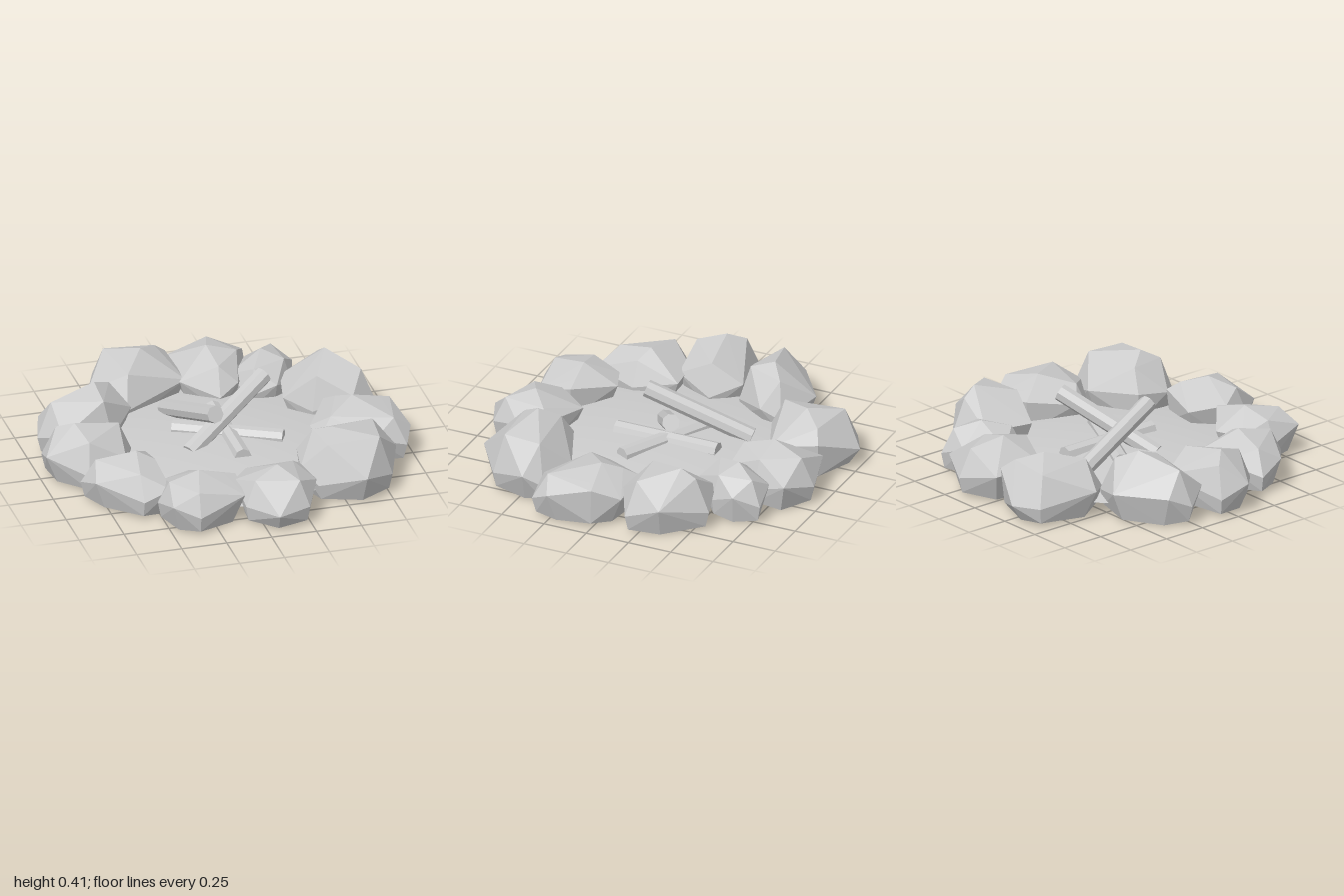
import * as THREE from 'three';
import { ConvexGeometry } from 'three/addons/geometries/ConvexGeometry.js';

const material = new THREE.MeshStandardMaterial({ color: 0xcccccc, flatShading: true });
const groundMaterial = new THREE.MeshStandardMaterial({ color: 0xcccccc, side: THREE.DoubleSide });

// Faceted boulder: hull of a widest belt, a tucked-in base, a shoulder and a peak.
// outline = [x, z, optional belt height] corners seen from above.
function rock(height, peakX, peakZ, outline) {
  const n = outline.length;
  const cx = outline.reduce((s, p) => s + p[0], 0) / n;
  const cz = outline.reduce((s, p) => s + p[1], 0) / n;
  const points = [new THREE.Vector3(peakX, height, peakZ)];
  outline.forEach(([x, z, beltY], i) => {
    const odd = i % 2;
    const ring = (scale, y) =>
      points.push(new THREE.Vector3(cx + (x - cx) * scale, y, cz + (z - cz) * scale));
    ring(1, beltY ?? (odd ? 0.11 : 0.17));
    if (odd) ring(0.7, height * 0.85);
    ring(odd ? 0.92 : 0.75, odd ? 0.025 : 0.005 + 0.01 * (i % 4 === 0));
  });
  const mesh = new THREE.Mesh(new ConvexGeometry(points), material);
  mesh.name = 'rock';
  return mesh;
}

// Octagonal log between two end points
function log(from, to) {
  const a = new THREE.Vector3(...from), b = new THREE.Vector3(...to);
  const mesh = new THREE.Mesh(new THREE.CylinderGeometry(0.048, 0.048, a.distanceTo(b), 8), material);
  mesh.position.copy(a).lerp(b, 0.5);
  mesh.quaternion.setFromUnitVectors(new THREE.Vector3(0, 1, 0), b.sub(a).normalize());
  mesh.name = 'log';
  return mesh;
}

export function createModel() {
  const model = new THREE.Group();
  model.name = 'campfire';

  // Shallow mound of earth inside the ring
  const moundProfile = [];
  for (let i = 0; i <= 8; i++) {
    const t = i / 8;
    moundProfile.push(new THREE.Vector2(0.74 * t, 0.13 - 0.06 * t * t));
  }
  const ground = new THREE.Mesh(new THREE.LatheGeometry(moundProfile, 32), groundMaterial);
  ground.name = 'ground';
  model.add(ground);

  // Ring of stones
  const stones = new THREE.Group();
  stones.name = 'stoneRing';
  stones.add(
    // back
    rock(0.33, -0.24, -0.72, [[-0.31, -1, 0.11], [-0.06, -0.87, 0.22], [-0.02, -0.6], [-0.39, -0.44], [-0.56, -0.62], [-0.45, -0.92]]),
    rock(0.31, 0.12, -0.7, [[-0.06, -0.9], [0.18, -0.96], [0.37, -0.87], [0.34, -0.68], [0.24, -0.49], [0.13, -0.45], [-0.06, -0.58]]),
    rock(0.29, 0.4, -0.62, [[0.36, -0.78], [0.52, -0.8], [0.59, -0.67], [0.55, -0.53], [0.43, -0.4], [0.28, -0.42], [0.22, -0.6]]),
    // left side
    rock(0.35, 0.7, -0.42, [[0.48, -0.52], [0.69, -0.58], [0.9, -0.38], [0.92, -0.19], [0.77, -0.11, 0.2], [0.56, -0.16], [0.42, -0.25]]),
    rock(0.29, 0.72, 0.04, [[0.86, -0.14], [0.94, 0, 0.23], [0.99, 0.24], [0.94, 0.35], [0.75, 0.37], [0.48, 0.2], [0.47, 0.1], [0.61, -0.13, 0.2]]),
    // front
    rock(0.38, 0.46, 0.54, [[0.59, 0.28], [0.8, 0.35], [0.85, 0.45], [0.77, 0.66], [0.59, 0.8], [0.35, 0.69], [0.28, 0.58, 0.18], [0.31, 0.4, 0.2]]),
    rock(0.29, 0.11, 0.72, [[0, 0.49], [0.28, 0.57, 0.2], [0.33, 0.72], [0.24, 0.91], [0.05, 0.99, 0.11], [-0.09, 0.82], [-0.11, 0.66, 0.2]]),
    rock(0.27, -0.3, 0.63, [[-0.3, 0.43], [-0.09, 0.61, 0.21], [-0.09, 0.8], [-0.36, 0.89], [-0.5, 0.84], [-0.53, 0.64], [-0.45, 0.49]]),
    // right side
    rock(0.29, -0.57, 0.36, [[-0.46, 0.15], [-0.42, 0.4], [-0.45, 0.63], [-0.6, 0.63], [-0.82, 0.45], [-0.86, 0.29], [-0.66, 0.17]]),
    rock(0.33, -0.82, 0.03, [[-0.6, -0.17], [-0.49, -0.02], [-0.58, 0.2], [-0.8, 0.25], [-0.99, 0.08], [-0.97, -0.09]]),
    rock(0.355, -0.6, -0.36, [[-0.65, -0.58], [-0.42, -0.48], [-0.39, -0.37], [-0.55, -0.17], [-0.84, -0.12], [-0.94, -0.27], [-0.9, -0.4]]),
  );
  model.add(stones);

  // Two logs half sunk in the ground, two leaning on top
  const logs = new THREE.Group();
  logs.name = 'logs';
  logs.add(
    log([0.05, 0.12, -0.33], [0.05, 0.12, 0.27]),
    log([-0.22, 0.12, -0.16], [0.32, 0.12, 0.11]),
    log([-0.185, 0.115, -0.42], [-0.07, 0.335, 0.15]),
    log([-0.2, 0.1, 0.1], [0.29, 0.37, -0.165]),
  );
  model.add(logs);
  return model;
}
